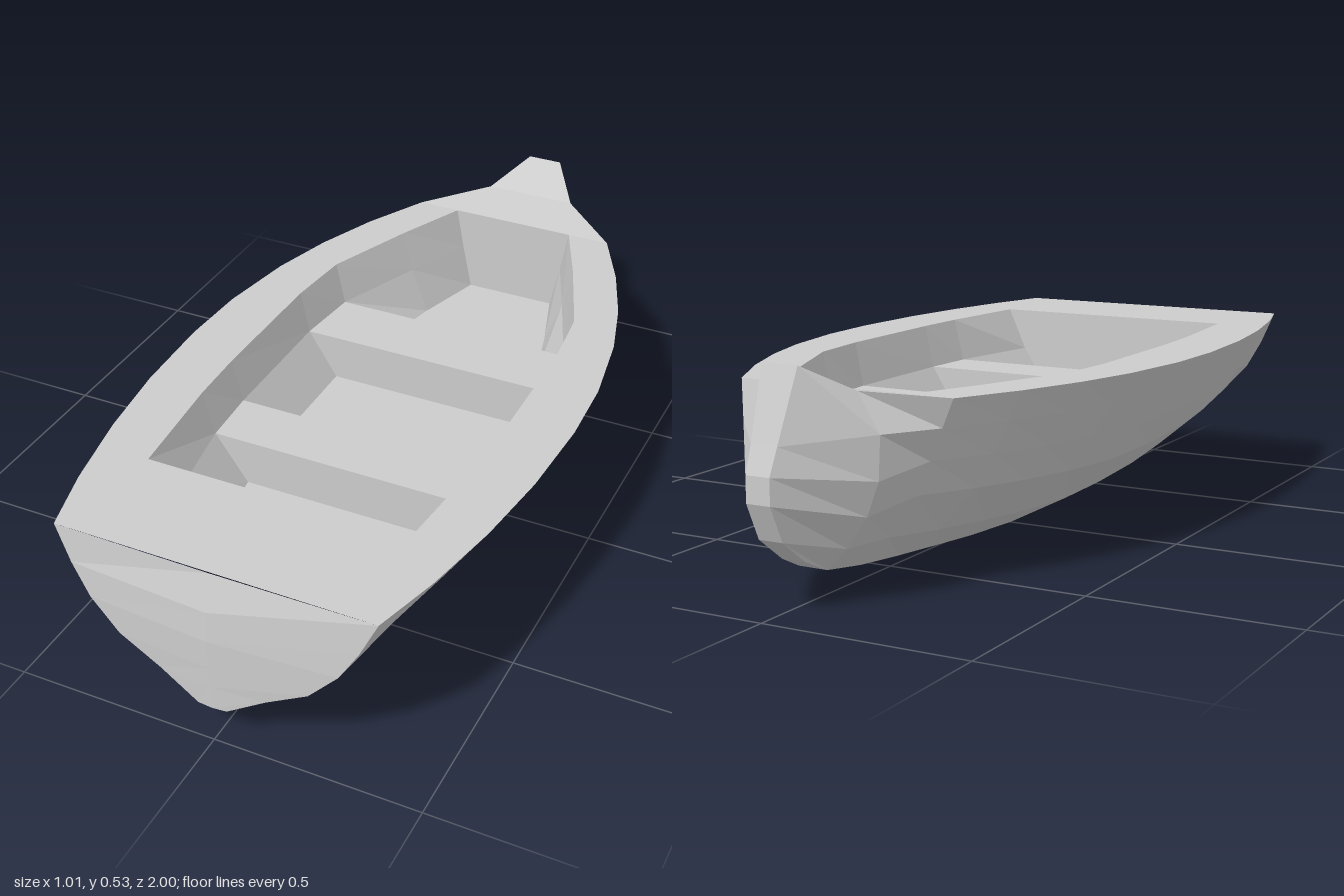
import * as THREE from 'three';

const DECK = 0.445, FLOOR = 0.215, SEAT = 0.335;
const material = new THREE.MeshStandardMaterial({ color: 0xcccccc, flatShading: true });

function addMesh(group, name, geometry) {
  const mesh = new THREE.Mesh(geometry, material);
  mesh.name = name;
  group.add(mesh);
  return mesh;
}

// Skin a grid of rows of [x, y, z] points; every row runs from -x to +x.
function loft(rows) {
  const n = rows[0].length, index = [];
  for (let i = 0; i < rows.length - 1; i++) {
    for (let j = 0; j < n - 1; j++) {
      const a = i * n + j, b = a + n;
      index.push(a, b, a + 1, b, b + 1, a + 1);
    }
  }
  const g = new THREE.BufferGeometry();
  g.setAttribute('position', new THREE.Float32BufferAttribute(rows.flat(2), 3));
  g.setIndex(index);
  g.computeVertexNormals();
  return g;
}

// Mirror a keel-to-rim half section into a full rim-to-rim one.
const mirror = (half) => [...half.map(([x, y, z]) => [-x, y, z]).reverse(), ...half];
const across = ([x, y, z]) => [[-x, y, z], [x, y, z]];

export function createModel() {
  const boat = new THREE.Group();
  boat.name = 'rowingBoat';

  // Half sections of the hull, keel first
  const transom = [[0.035, 0.095, 0.997], [0.13, 0.155, 0.99], [0.23, 0.21, 0.985],
    [0.30, 0.285, 0.98], [0.345, 0.36, 0.972], [0.385, DECK, 0.962]];
  const shoulder = [[0.037, 0.072, -0.81], [0.09, 0.125, -0.81], [0.14, 0.20, -0.81],
    [0.17, 0.28, -0.81], [0.175, 0.38, -0.81], [0.12, 0.468, -0.81]];
  const stem = [[0.03, 0.105, -0.88], [0.03, 0.165, -0.96], [0.03, 0.25, -1],
    [0.03, 0.31, -1], [0.033, 0.37, -0.975], [0.045, 0.53, -0.915]];

  // Stations: z, rim half width, keel height
  const stations = [[0.8, 0.43, 0.06], [0.6, 0.47, 0.034], [0.4, 0.495, 0.016],
    [0.18, 0.505, 0.005], [0, 0.497, 0], [-0.2, 0.465, 0.01], [-0.36, 0.42, 0.022],
    [-0.52, 0.357, 0.036], [-0.68, 0.275, 0.052]];
  const profile = [[0.09, 0], [0.4, 0.18], [0.67, 0.44], [0.79, 0.64], [0.9, 0.83], [1, 1]];
  const middle = stations.map(([z, w, keel]) => profile.map(([f, h]) =>
    [Math.max(w * f, 0.038), keel + (DECK - keel) * h, z]));
  const sections = [transom, ...middle, shoulder, stem];
  addMesh(boat, 'hull', loft(sections.map(mirror)));

  // Slightly bowed stern board
  const bulge = [1, 1, 1, 1, 0.993, 0.965];
  addMesh(boat, 'transom', loft(transom.map((p, i) => {
    const [l, r] = across(p);
    return [l, [0, p[1], bulge[i]], r];
  }).reverse()));

  // Blunt stem and raised prow
  addMesh(boat, 'stem', loft(stem.map(across)));
  const rim = sections.map((s) => s[5]);
  addMesh(boat, 'prowDeck', loft(rim.slice(-3).reverse().map(across)));

  // Inner well: z, half widths at floor, seat height and rim
  const wellStations = [[0.68, 0.2, 0.275, 0.325], [0.4, 0.24, 0.322, 0.35],
    [0.25, 0.255, 0.33, 0.355], [-0.1, 0.255, 0.33, 0.352], [-0.27, 0.23, 0.312, 0.335],
    [-0.5, 0.175, 0.22, 0.245], [-0.68, 0.12, 0.145, 0.165]];
  const well = wellStations.map(([z, a, b, c]) => [[a, FLOOR, z], [b, SEAT, z], [c, DECK, z]]);
  addMesh(boat, 'well', loft(well.map(mirror).reverse()));
  addMesh(boat, 'wellSternWall', loft(well[0].map(across)));
  addMesh(boat, 'wellBowWall', loft(well.at(-1).map(across).reverse()));

  // Flat deck around the well
  const outline = (half) => [...half.map(([x, , z]) => new THREE.Vector2(x, -z)),
    ...half.map(([x, , z]) => new THREE.Vector2(-x, -z)).reverse()];
  const deckShape = new THREE.Shape(outline(rim.slice(0, -2)));
  deckShape.holes.push(new THREE.Path(outline(well.map((s) => s[2]))));
  const deck = new THREE.ShapeGeometry(deckShape).rotateX(-Math.PI / 2).translate(0, DECK, 0);
  addMesh(boat, 'deck', deck);

  // Solid benches shaped to the well
  const benches = [['sternBench', 0.25, 0.4], ['bowBench', -0.27, -0.1]];
  for (const [name, z0, z1] of benches) {
    const shape = new THREE.Shape([[-0.25, FLOOR - 0.01], [0.25, FLOOR - 0.01],
      [0.335, SEAT], [-0.335, SEAT]].map(([x, y]) => new THREE.Vector2(x, y)));
    const g = new THREE.ExtrudeGeometry(shape, { depth: z1 - z0, bevelEnabled: false });
    addMesh(boat, name, g.translate(0, 0, z0));
  }
  return boat;
}
